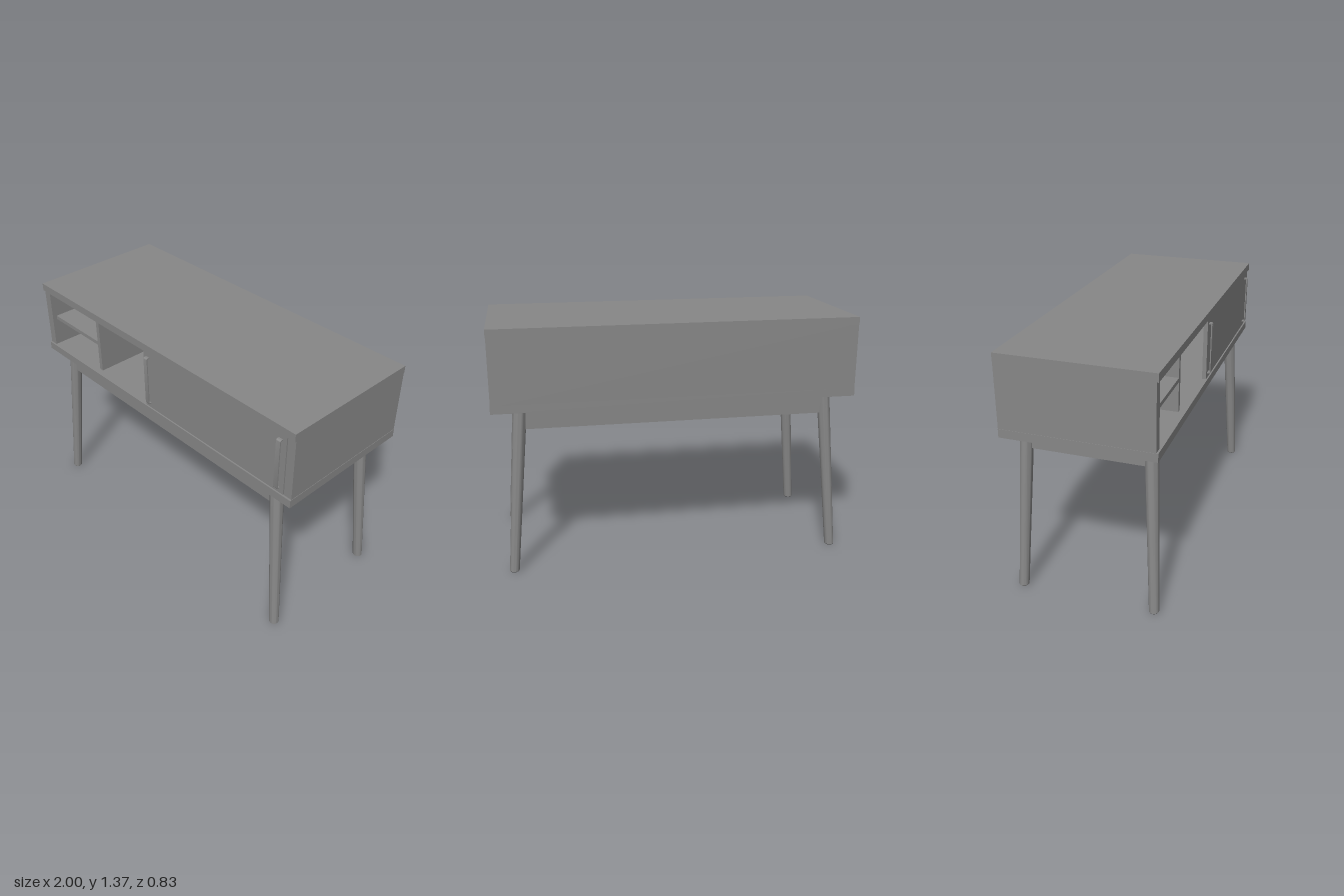
import * as THREE from 'three';
import { toCreasedNormals } from 'three/addons/utils/BufferGeometryUtils.js';

export function createModel() {
  const model = new THREE.Group();
  model.name = 'sideboard';
  const material = new THREE.MeshStandardMaterial({ color: 0x878787 });

  function add(name, geometry) {
    const mesh = new THREE.Mesh(geometry, material);
    mesh.name = name;
    model.add(mesh);
    return mesh;
  }

  // Board given by its min and max on each axis
  function board(name, x0, x1, y0, y1, z0, z1) {
    const mesh = add(name, new THREE.BoxGeometry(x1 - x0, y1 - y0, z1 - z0));
    mesh.position.set((x0 + x1) / 2, (y0 + y1) / 2, (z0 + z1) / 2);
  }

  // Cabinet carcass, flush at the back
  const floor = 0.971, ceiling = 1.325, back = -0.415;
  board('topPanel', -1, 1, ceiling, 1.369, back, 0.404);
  board('bottomPanel', -1, 1, 0.925, floor, back, 0.404);
  board('rightSidePanel', -0.998, -0.95, floor, ceiling, back, 0.394);
  board('leftSidePanel', 0.95, 0.998, floor, ceiling, back, 0.394);
  board('backPanel', -0.95, 0.95, floor, ceiling, back, -0.393);

  // Open compartments, set back behind the track of the sliding door
  board('divider', -0.537, -0.512, floor, ceiling, -0.393, 0.367);
  board('shelf', -0.95, -0.537, 1.136, 1.159, -0.393, 0.367);

  // Sliding door
  board('slidingDoor', -0.075, 0.946, floor, ceiling, 0.373, 0.396);

  // Door handles: thin strips bent into a bracket
  const h = 0.147, d = 0.02, t = 0.006, r = 0.011;
  const profile = new THREE.Shape();
  profile.moveTo(0, -h);
  profile.lineTo(d - r, -h);
  profile.quadraticCurveTo(d, -h, d, -h + r);
  profile.lineTo(d, h - r);
  profile.quadraticCurveTo(d, h, d - r, h);
  profile.lineTo(0, h);
  profile.lineTo(0, h - t);
  profile.lineTo(d - r, h - t);
  profile.quadraticCurveTo(d - t, h - t, d - t, h - r);
  profile.lineTo(d - t, -h + r);
  profile.quadraticCurveTo(d - t, -h + t, d - r, -h + t);
  profile.lineTo(0, -h + t);
  profile.closePath();
  const handle = new THREE.ExtrudeGeometry(profile, { depth: 0.026, bevelEnabled: false, curveSegments: 6 });
  handle.translate(0, 0, -0.013);
  handle.rotateY(-Math.PI / 2);
  const handleGeometry = toCreasedNormals(handle, 0.6);
  for (const x of [-0.041, 0.909]) {
    add('doorHandle', handleGeometry).position.set(x, 1.146, 0.395);
  }

  // Apron frame running between the legs
  const height = 0.925, middle = -0.004;
  for (const s of [-1, 1]) {
    const z = middle + s * 0.33, x = s * 0.846;
    board(s > 0 ? 'frontApron' : 'backApron', -0.866, 0.866, 0.817, height, z - 0.02, z + 0.02);
    board(s > 0 ? 'leftApron' : 'rightApron', x - 0.02, x + 0.02, 0.817, height, middle - 0.31, middle + 0.31);
  }

  // Splayed, tapered legs: round sections sheared along the slanted axis
  const legProfile = [[0, 0], [0.023, 0], [0.027, 0.005], [0.036, height], [0, height]]
    .map(([x, y]) => new THREE.Vector2(x, y));
  const legGeometry = toCreasedNormals(new THREE.LatheGeometry(legProfile, 32), 0.6);
  for (const sx of [-1, 1]) for (const sz of [-1, 1]) {
    const geometry = legGeometry.clone();
    geometry.applyMatrix4(new THREE.Matrix4().set(
      1, -sx * 0.08 / height, 0, sx * 0.927,
      0, 1, 0, 0,
      0, -sz * 0.041 / height, 1, middle + sz * 0.371,
      0, 0, 0, 1));
    add((sz > 0 ? 'front' : 'back') + (sx > 0 ? 'Left' : 'Right') + 'Leg', geometry);
  }

  return model;
}
